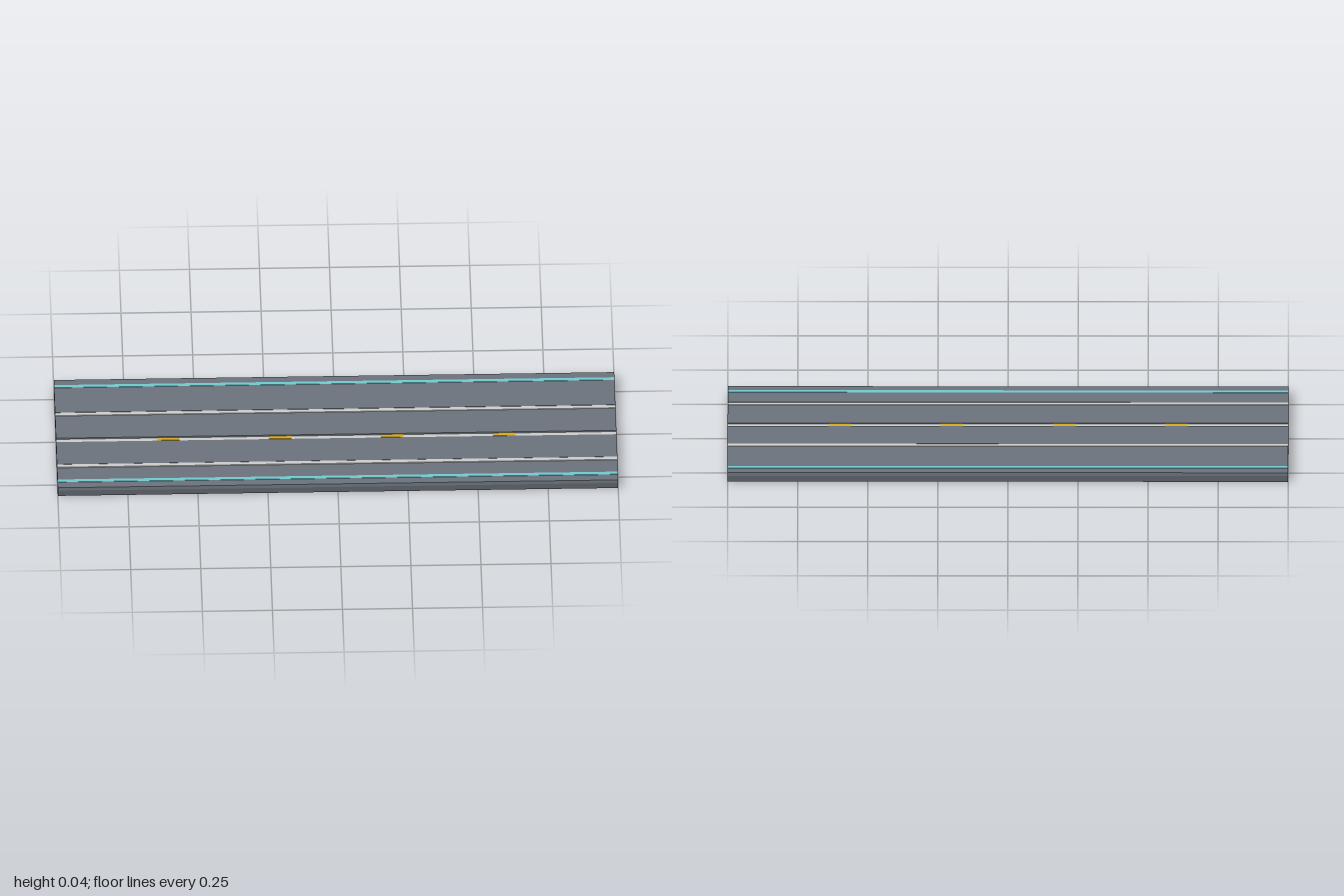
import * as THREE from 'three';

const mat = (color) => new THREE.MeshStandardMaterial({ color });

export function createModel() {
  const group = new THREE.Group();
  const slabMat = mat(0x5b6068), deckMat = mat(0x6b727b), railMat = mat(0xd4d6d4);
  const edgeMat = mat(0x70c8cc), dashMat = mat(0xd4a820);

  // Box given by its extents on each axis
  const block = (name, material, [x0, x1], [y0, y1], [z0, z1]) => {
    const mesh = new THREE.Mesh(new THREE.BoxGeometry(x1 - x0, y1 - y0, z1 - z0), material);
    mesh.position.set((x0 + x1) / 2, (y0 + y1) / 2, (z0 + z1) / 2);
    mesh.name = name;
    group.add(mesh);
  };
  const full = [-1, 1];

  // Foundation slab
  block('foundationSlab', slabMat, full, [0, 0.024], [-0.313, 0.313]);

  // Four lane panels, separated by narrow channels
  const panels = [[-0.315, -0.125], [-0.104, 0.025], [0.048, 0.178], [0.199, 0.315]];
  panels.forEach((z, i) => block(`lanePanel${i + 1}`, deckMat, full, [0.024, 0.038], z));

  // Light divider strips lying in the channels
  [[-0.114, 0.039], [0.0365, 0.035], [0.188, 0.039]].forEach(([z, top], i) =>
    block(`dividerStrip${i + 1}`, railMat, full, [0.024, top], [z - 0.008, z + 0.008]));

  // Yellow dashes on the middle divider
  for (let i = 0; i < 4; i++) {
    const x = -0.6 + i * 0.4;
    block(`centreDash${i + 1}`, dashMat, [x - 0.04, x + 0.04], [0.03, 0.037], [0.0285, 0.0445]);
  }

  // Raised coloured lines near both long edges
  for (const s of [-1, 1]) {
    const z = s * 0.276;
    block(s > 0 ? 'frontEdgeLine' : 'backEdgeLine', edgeMat, full, [0.036, 0.0395], [z - 0.0075, z + 0.0075]);
  }
  return group;
}
